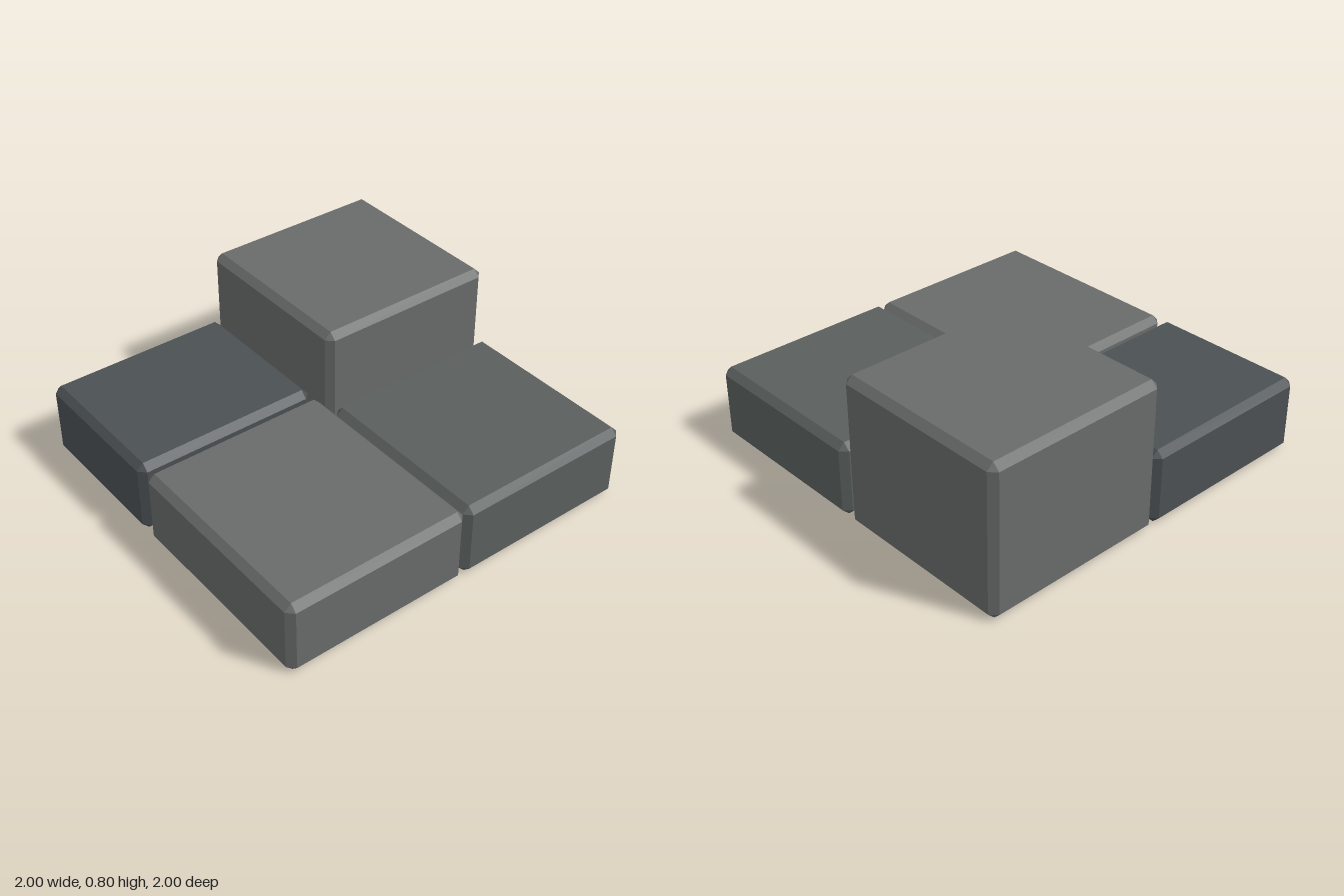
import * as THREE from 'three';
import { ConvexGeometry } from 'three/addons/geometries/ConvexGeometry.js';

const CHAMFER = 0.035;

// Box with all edges chamfered: each corner is cut to a small triangle
function chamferedBox(w, h, d) {
  const half = [w / 2, h / 2, d / 2];
  const points = [];
  for (const sx of [-1, 1]) for (const sy of [-1, 1]) for (const sz of [-1, 1]) {
    const sign = [sx, sy, sz];
    for (let axis = 0; axis < 3; axis++) {
      const p = half.map((v, i) => sign[i] * (i === axis ? v : v - CHAMFER));
      points.push(new THREE.Vector3(...p));
    }
  }
  return new ConvexGeometry(points);
}

// Block standing on the ground between the given x and z limits
function block(name, x0, x1, z0, z1, height, color) {
  const material = new THREE.MeshStandardMaterial({ flatShading: true });
  material.color.set(color);
  const mesh = new THREE.Mesh(chamferedBox(x1 - x0, height, z1 - z0), material);
  mesh.name = name;
  mesh.position.set((x0 + x1) / 2, height / 2, (z0 + z1) / 2);
  return mesh;
}

export function createModel() {
  const group = new THREE.Group();
  group.name = 'stoneBlocks';
  group.add(
    block('tallBackBlock', 0, 1, -1, -0.015, 0.8, 0x686b6a),
    block('lowBackBlock', -1, 0, -1, -0.16, 0.4, 0x4b5053),
    block('longFrontBlock', -1, 0, -0.13, 1, 0.4, 0x686b6a),
    block('lowFrontBlock', 0, 1, -0.01 + 0.02, 1, 0.4, 0x5a5f5e),
  );
  return group;
}
